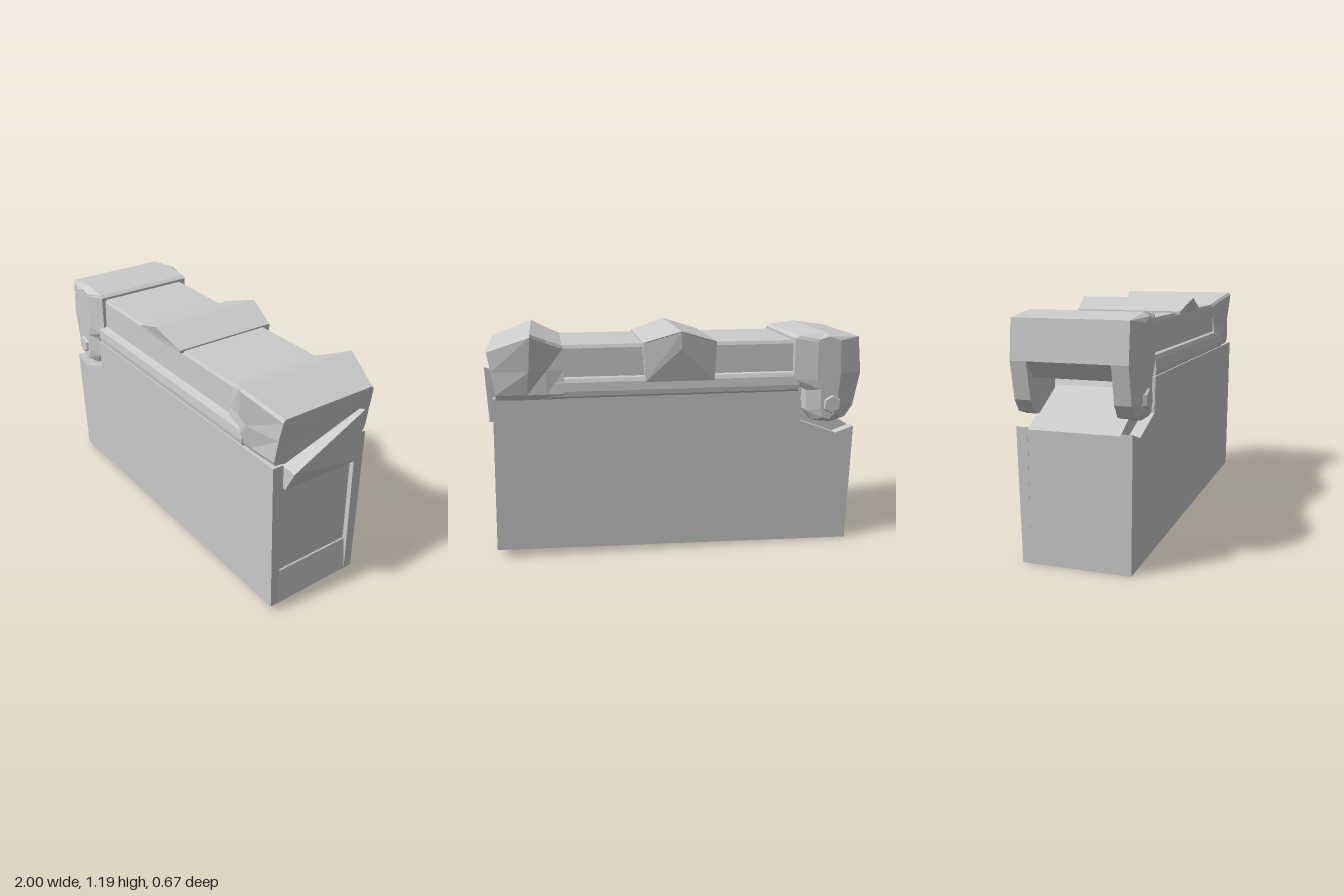
import * as THREE from 'three';
import { ConvexGeometry } from 'three/addons/geometries/ConvexGeometry.js';

const grey = new THREE.MeshStandardMaterial({ color: 0xcccccc, flatShading: true });

function add(parent, name, geometry) {
  const mesh = new THREE.Mesh(geometry, grey);
  mesh.name = name;
  parent.add(mesh);
  return mesh;
}

// Extrude an x-y outline between two z limits that may lean with height
function slab(points, zBack, zFront) {
  const shape = new THREE.Shape(points.map(p => new THREE.Vector2(...p)));
  const geo = new THREE.ExtrudeGeometry(shape, { depth: 1, bevelEnabled: false });
  const pos = geo.attributes.position;
  for (let i = 0; i < pos.count; i++) {
    const y = pos.getY(i);
    pos.setZ(i, pos.getZ(i) > 0.5 ? zFront(y) : zBack(y));
  }
  geo.computeVertexNormals();
  return geo;
}

// Skin a row of equal-length rings and close both ends; faces are turned outward
function loft(rings) {
  const tris = [];
  const n = rings[0].length;
  const vec = rings.map(r => r.map(p => new THREE.Vector3(...p)));
  for (let k = 0; k + 1 < vec.length; k++) {
    for (let i = 0; i < n; i++) {
      const j = (i + 1) % n;
      const a = vec[k][i], b = vec[k][j], c = vec[k + 1][j], d = vec[k + 1][i];
      tris.push([a, b, c], [a, c, d]);
    }
  }
  [vec[0], vec[vec.length - 1]].forEach((ring, end) => {
    const mid = new THREE.Vector3();
    ring.forEach(v => mid.addScaledVector(v, 1 / n));
    ring.forEach((v, i) => {
      const w = ring[(i + 1) % n];
      tris.push(end ? [mid, v, w] : [mid, w, v]);
    });
  });
  const volume = tris.reduce((s, [a, b, c]) => s + a.dot(b.clone().cross(c)), 0);
  if (volume < 0) tris.forEach(t => t.reverse());
  const geo = new THREE.BufferGeometry().setFromPoints(tris.flat());
  geo.computeVertexNormals();
  return geo;
}

const hull = points => new ConvexGeometry(points.map(p => new THREE.Vector3(...p)));

export function createModel() {
  const model = new THREE.Group();
  model.name = 'hingedCase';

  // Body: two leaning side walls with a recessed core between them
  const wall = [[-0.97, 0], [0.95, 0.045], [0.93, 0.86], [-0.67, 0.86],
    [-0.675, 0.69], [-0.88, 0.615], [-0.98, 0.65]];
  const core = [[-0.97, 0], [0.95, 0.045], [0.925, 0.225], [0.918, 0.23], [0.905, 0.86],
    [-0.66, 0.86], [-0.68, 0.8], [-0.978, 0.64]];
  const body = new THREE.Group();
  body.name = 'body';
  model.add(body);
  add(body, 'frontWall', slab(wall, () => 0.235, y => 0.28 + 0.018 * y));
  add(body, 'backWall', slab(wall, y => -0.255 - 0.016 * y, () => -0.21));
  add(body, 'core', slab(core, () => -0.21, () => 0.235));

  // Lid: long bar with a rounded lower ledge and a recessed strip on each side
  const lid = new THREE.Group();
  lid.name = 'lid';
  model.add(lid);
  const half = [[0.272, 0.852], [0.287, 0.865], [0.29, 0.89], [0.286, 0.935], [0.276, 0.955],
    [0.258, 0.96], [0.254, 1.105], [0.246, 1.122]];
  const section = [...half, ...half.map(([z, y]) => [-z, y]).reverse()];
  add(lid, 'lidBar', loft([-0.66, 0.7].map(x => section.map(([z, y]) => [x, y, z + 0.006]))));

  // Flared block at the opening end
  const flare = [
    { x: 0.575, xb: 0.57, z: 0.256, zm: 0.27, zb: 0.285, y: 1.12 },
    { x: 0.66, xb: 0.66, z: 0.29, zm: 0.283, zb: 0.287, y: 1.155 },
    { x: 0.735, xb: 0.76, z: 0.336, zm: 0.312, zb: 0.289, y: 1.19 },
    { x: 0.95, xb: 0.915, z: 0.268, zm: 0.275, zb: 0.279, y: 1.112 },
  ].map(s => {
    const side = [[s.xb, 0.853, s.zb - 0.012], [s.xb, 0.88, s.zb],
      [(s.x + s.xb) / 2, 1.0, s.zm], [s.x, s.y - 0.015, s.z], [s.x, s.y, s.z - 0.01]];
    return [...side, ...side.map(([x, y, z]) => [x, y, -z]).reverse()];
  });
  add(lid, 'flaredEnd', loft(flare));

  // Hinge head: solid top with a lobe hanging down on each side
  const head = [[-0.975, 1.14], [-0.79, 1.165], [-0.65, 1.148], [-0.63, 1.135],
    [-0.63, 0.9], [-0.7, 0.86], [-0.93, 0.87], [-0.995, 0.95]];
  add(lid, 'hingeHead', slab(head, () => -0.21, () => 0.21));
  const lobe = [[-0.975, 1.14], [-0.79, 1.165], [-0.65, 1.148], [-0.63, 1.135],
    [-0.63, 0.92], [-0.7, 0.86], [-0.7, 0.75], [-0.74, 0.695], [-0.84, 0.685],
    [-0.92, 0.71], [-0.96, 0.77], [-0.995, 0.95]];
  for (const s of [1, -1]) {
    const name = s > 0 ? 'front' : 'back';
    const levels = [[0.2, 1, 1], [0.28, 1, 1], [0.312, 0.35, 0.92]];
    add(lid, name + 'HingeLobe', loft(levels.map(([z, sx, sy]) => lobe.map(([x, y]) =>
      [-0.81 + (x + 0.81) * sx, 0.94 + (y - 0.94) * sy, s * z]))));

    // Hinge pin with a domed six-sided cap
    const pin = add(model, name + 'HingePin', new THREE.CylinderGeometry(0.045, 0.085, 0.07, 6));
    pin.rotation.x = s * Math.PI / 2;
    pin.position.set(-0.835, 0.785, s * 0.287);
  }

  // Clip across the lid: gabled strap with a flap over the back strip
  const strap = [[-0.21, 1.06], [-0.21, 1.13], [-0.02, 1.19], [0.17, 1.13], [0.17, 1.06]];
  const clip = new THREE.Group();
  clip.name = 'clip';
  model.add(clip);
  add(clip, 'clipStrap', loft([
    strap.map(([x, y]) => [x, Math.max(y, 1.115), y > 1.15 ? 0.298 : 0.28]),
    strap.map(([x, y]) => [x, y, y > 1.15 ? -0.33 : -0.285]),
  ]));
  add(clip, 'clipFlap', hull([
    [-0.21, 1.125, -0.24], [0.17, 1.125, -0.24], [-0.21, 1.125, -0.285], [0.17, 1.125, -0.285],
    [-0.02, 1.185, -0.33], [-0.02, 1.1, -0.325],
    [-0.2, 0.93, -0.24], [0.16, 0.93, -0.24], [-0.2, 0.93, -0.288], [0.16, 0.93, -0.288],
  ]));

  // Wedge latch on the opening end
  add(model, 'latch', hull([
    [1.0, 0.845, 0.23], [0.968, 1.015, -0.21], [0.955, 0.73, -0.21], [0.945, 0.73, 0.23],
    [0.91, 0.73, 0.23], [0.91, 0.73, -0.21], [0.91, 0.845, 0.23], [0.92, 1.0, -0.21],
  ]));

  return model;
}
